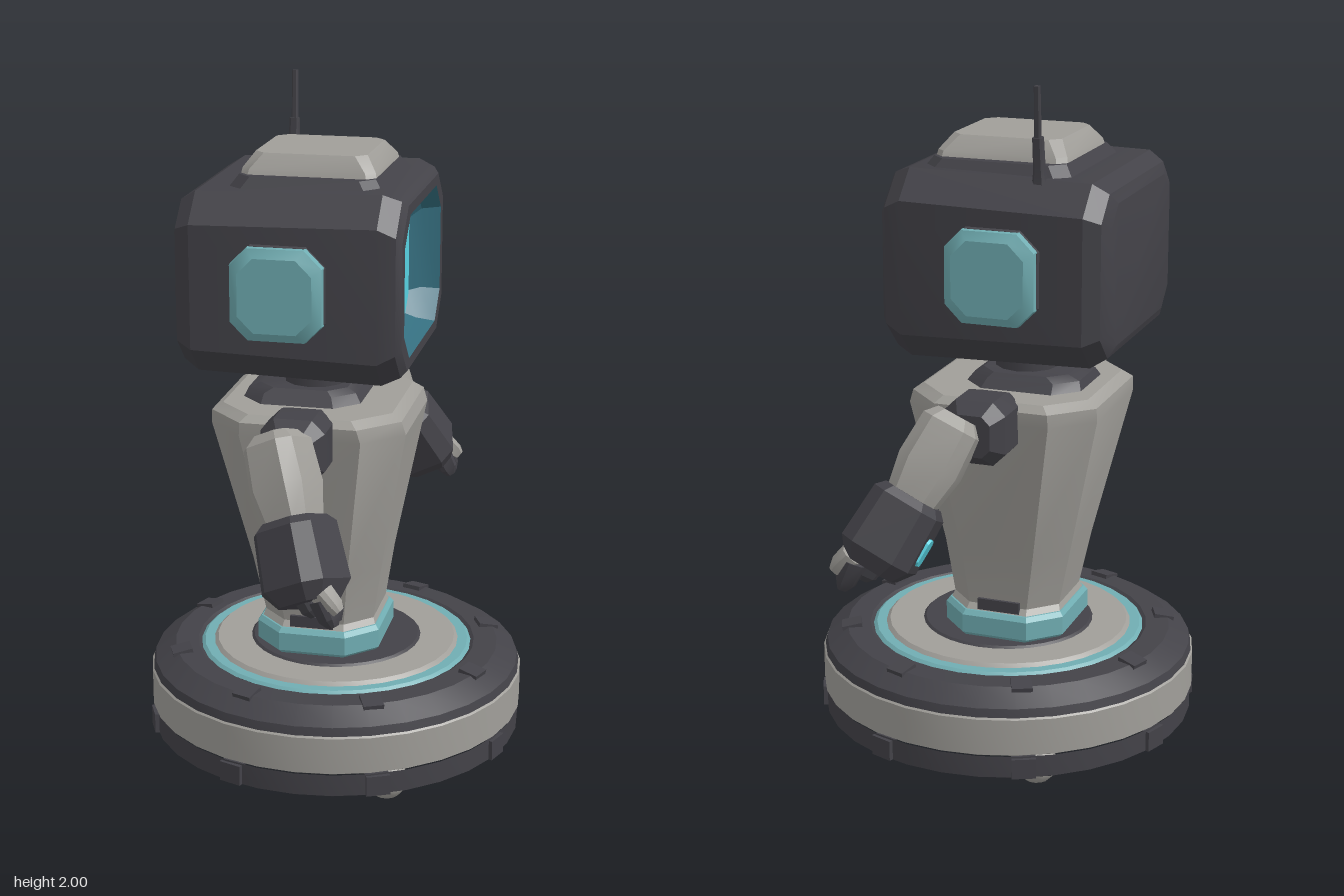
import * as THREE from 'three';
import { toCreasedNormals } from 'three/addons/utils/BufferGeometryUtils.js';

const mat = (name, color, extra = {}) => {
  const m = new THREE.MeshStandardMaterial({ color, ...extra });
  m.name = name;
  return m;
};

// Surface through chamfered rectangles along y: [y, halfX, halfZ, chamfer, centreX = 0, centreZ = 0]
function loft(sections, capBottom = true, capTop = true) {
  const pos = [], index = [];
  for (const [y, hx, hz, c, cx = 0, cz = 0] of sections) {
    const a = hx - c, b = hz - c;
    for (const [x, z] of [[hx, -b], [hx, b], [a, hz], [-a, hz], [-hx, b], [-hx, -b], [-a, -hz], [a, -hz]])
      pos.push(x + cx, y, z + cz);
  }
  for (let i = 0; i < sections.length - 1; i++)
    for (let j = 0; j < 8; j++) {
      const a = i * 8 + j, b = i * 8 + (j + 1) % 8;
      index.push(a, a + 8, b, b, a + 8, b + 8);
    }
  const top = (sections.length - 1) * 8;
  for (let j = 1; j < 7; j++) {
    if (capBottom) index.push(0, j, j + 1);
    if (capTop) index.push(top, top + j + 1, top + j);
  }
  const g = new THREE.BufferGeometry();
  g.setAttribute('position', new THREE.Float32BufferAttribute(pos, 3));
  g.setIndex(index);
  g.computeVertexNormals();
  return toCreasedNormals(g, 0.45);
}

const lathe = (pts) =>
  toCreasedNormals(new THREE.LatheGeometry(pts.map((p) => new THREE.Vector2(...p)), 32), 0.4);

export function createModel() {
  const model = new THREE.Group();
  model.name = 'robot';
  const dark = mat('charcoal', 0x434248);
  const grey = mat('warm grey', 0xa09e99);
  const teal = mat('muted teal', 0x70adb2);
  const screenMat = mat('screen cyan', 0x58d3e2);
  const recessMat = mat('recess blue', 0x356f80);

  const add = (name, geometry, material, parent = model) => {
    const m = new THREE.Mesh(geometry, material);
    m.name = name;
    parent.add(m);
    return m;
  };
  const up = new THREE.Vector3(0, 1, 0);
  // Chamfered limb from a to b; profile rows are [fraction, half width]
  const limb = (name, a, b, profile, material, parent) => {
    const A = new THREE.Vector3(...a), d = new THREE.Vector3(...b).sub(A), len = d.length();
    const m = add(name, loft(profile.map(([t, h]) => [t * len, h, h, h * 0.4])), material, parent);
    m.position.copy(A);
    m.quaternion.setFromUnitVectors(up, d.normalize());
    return m;
  };

  // Round base
  add('baseUnderside', lathe([[0, 0.06], [0.54, 0.06], [0.558, 0.07], [0.558, 0.135]]), dark);
  add('baseBand', lathe([[0.545, 0.132], [0.563, 0.142], [0.563, 0.25], [0.55, 0.262]]), grey);
  add('baseRim', lathe([[0.558, 0.255], [0.552, 0.28], [0.49, 0.32], [0.42, 0.322], [0.405, 0.312]]), dark);
  add('glowRing', lathe([[0.41, 0.316], [0.40, 0.324], [0.37, 0.324]]), teal);
  add('deck', lathe([[0.373, 0.322], [0.36, 0.334], [0.25, 0.334]]), grey);
  add('deckCentre', lathe([[0.262, 0.33], [0.25, 0.34], [0, 0.34]]), dark);
  for (let k = 0; k < 8; k++) {
    const a = (k + 0.55) * Math.PI / 4;
    const holder = new THREE.Group();
    holder.name = 'baseTabs';
    holder.rotation.y = a;
    model.add(holder);
    const t = add('rimTab', new THREE.BoxGeometry(0.06, 0.022, 0.06), dark, holder);
    t.position.set(0.475, 0.317, 0);
    t.rotation.z = -0.2;
    add('skirtTab', new THREE.BoxGeometry(0.03, 0.06, 0.07), dark, holder).position.set(0.552, 0.1, 0);
  }
  // Ball casters
  for (const [x, z] of [[0.43, -0.14], [-0.23, -0.385], [0.235, 0.385], [-0.425, 0.135]])
    add('caster', new THREE.SphereGeometry(0.06, 14, 10), grey).position.set(x, 0.06, z);

  // Waist and tapered torso
  add('waistRing', loft([[0.335, 0.17, 0.19, 0.08, -0.03], [0.35, 0.185, 0.202, 0.085, -0.03],
    [0.405, 0.185, 0.202, 0.085, -0.03], [0.418, 0.175, 0.19, 0.08, -0.03]]), teal);
  add('torso', loft([[0.41, 0.175, 0.19, 0.08, -0.03], [0.435, 0.165, 0.17, 0.075, -0.03],
    [0.6, 0.195, 0.19, 0.085, -0.035], [1.04, 0.287, 0.283, 0.11, -0.045],
    [1.08, 0.28, 0.285, 0.11, -0.05], [1.1, 0.25, 0.262, 0.1, -0.05]]), grey);
  for (const s of [-1, 1])
    add('waistClip', new THREE.BoxGeometry(0.13, 0.045, 0.02), dark).position.set(-0.035, 0.432, s * 0.172);

  // Neck
  add('neckBase', loft([[1.09, 0.18, 0.17, 0.07, -0.08], [1.125, 0.16, 0.135, 0.06, -0.085],
    [1.14, 0.13, 0.12, 0.05, -0.08]]), dark);
  add('neck', new THREE.CylinderGeometry(0.093, 0.093, 0.12, 12), dark).position.set(-0.06, 1.17, 0);
  add('neckSocket', loft([[1.18, 0.11, 0.11, 0.05, -0.06], [1.24, 0.14, 0.14, 0.05, -0.06]]), dark);

  // Head, lofted back to front along x and open at the screen
  const head = new THREE.Group();
  head.name = 'head';
  head.position.y = 1.484;
  model.add(head);
  const along = (m) => { m.rotation.z = -Math.PI / 2; return m; };
  along(add('headShell', loft([[-0.4, 0.2, 0.28, 0.06], [-0.385, 0.23, 0.325, 0.07],
    [-0.34, 0.258, 0.35, 0.08], [0.19, 0.27, 0.355, 0.08], [0.24, 0.25, 0.34, 0.085],
    [0.255, 0.235, 0.32, 0.085], [0.255, 0.205, 0.285, 0.08]], true, false), dark, head));
  along(add('screenRecess', loft([[0.255, 0.205, 0.285, 0.08], [0.2, 0.195, 0.27, 0.075],
    [0.165, 0.165, 0.24, 0.055, 0.015]], false), recessMat, head));
  along(add('screen', loft([[0.163, 0.16, 0.233, 0.05, 0.019],
    [0.17, 0.16, 0.233, 0.05, 0.019]]), screenMat, head));
  for (const s of [-1, 1]) {
    const rim = add('earRim', loft([[0.34, 0.135, 0.135, 0.055], [0.37, 0.132, 0.132, 0.055]]), dark, head);
    const pad = add('earPad', loft([[0.365, 0.132, 0.132, 0.05], [0.385, 0.13, 0.13, 0.05],
      [0.402, 0.105, 0.105, 0.045]]), teal, head);
    for (const m of [rim, pad]) {
      m.rotation.x = s * Math.PI / 2;
      m.position.set(-0.085, 0, 0);
    }
  }
  add('roofPlate', loft([[1.74, 0.22, 0.245, 0.04, -0.045, -0.01],
    [1.775, 0.195, 0.22, 0.04, -0.045, -0.01]]), dark);
  add('roofPanel', loft([[1.76, 0.197, 0.195, 0.025, -0.045, -0.01],
    [1.79, 0.19, 0.185, 0.025, -0.045, -0.01], [1.832, 0.16, 0.15, 0.03, -0.045, -0.005]]), grey);

  // Antenna
  limb('antennaBase', [-0.19, 1.73, -0.265], [-0.187, 1.86, -0.275], [[0, 0.02], [0.3, 0.015], [1, 0.014]], dark);
  limb('antennaTip', [-0.187, 1.85, -0.275], [-0.188, 2, -0.287], [[0, 0.009], [1, 0.008]], dark);

  // Arms: bent elbows, each with its own reach
  const arms = [
    { s: 1, top: [-0.08, 1.1, 0.42], elbow: [0, 0.88, 0.53], wrist: [0.065, 0.69, 0.625] },
    { s: -1, top: [-0.01, 1.1, -0.43], elbow: [0.085, 0.88, -0.54], wrist: [0.17, 0.7, -0.635] },
  ];
  for (const { s, top, elbow, wrist } of arms) {
    const arm = new THREE.Group();
    arm.name = s > 0 ? 'armNear' : 'armFar';
    model.add(arm);
    limb('shoulder', [-0.04, 1.04, s * 0.22], [-0.04, 1.04, s * 0.42],
      [[0, 0.075], [0.3, 0.092], [0.8, 0.092], [1, 0.06]], dark, arm);
    limb('upperArm', top, elbow, [[0, 0.055], [0.12, 0.082], [0.6, 0.088], [1, 0.07]], grey, arm);
    const a = new THREE.Vector3(...elbow), w = new THREE.Vector3(...wrist);
    const fore = limb('forearm', a.clone().lerp(w, -0.05).toArray(), wrist,
      [[0, 0.08], [0.1, 0.1], [0.8, 0.107], [1, 0.075]], dark, arm);
    // Fingers and thumb
    for (const [dx, dz, len] of [[0.035, -0.03, 0.085], [0.04, 0.03, 0.075], [-0.015, 0, 0.06]]) {
      const p = [w.x + dx, w.y + 0.03, w.z + dz];
      limb('finger', p, [p[0] + 0.035, p[1] - len, p[2] + s * 0.01], [[0, 0.032], [0.7, 0.028], [1, 0.014]], dark, arm);
    }
    limb('thumb', [w.x + 0.04, w.y + 0.05, w.z + s * 0.035], [w.x + 0.09, w.y, w.z + s * 0.045],
      [[0, 0.03], [0.7, 0.026], [1, 0.016]], grey, arm);
    // Lit patch on the outer face of one forearm
    if (s < 0) {
      const patch = add('forearmLight', loft([[0, 0.032, 0.042, 0.012], [0.008, 0.03, 0.04, 0.012]]), screenMat, fore);
      patch.rotation.x = -Math.PI / 2;
      patch.position.set(0, 0.12, -0.103);
    }
  }
  return model;
}
